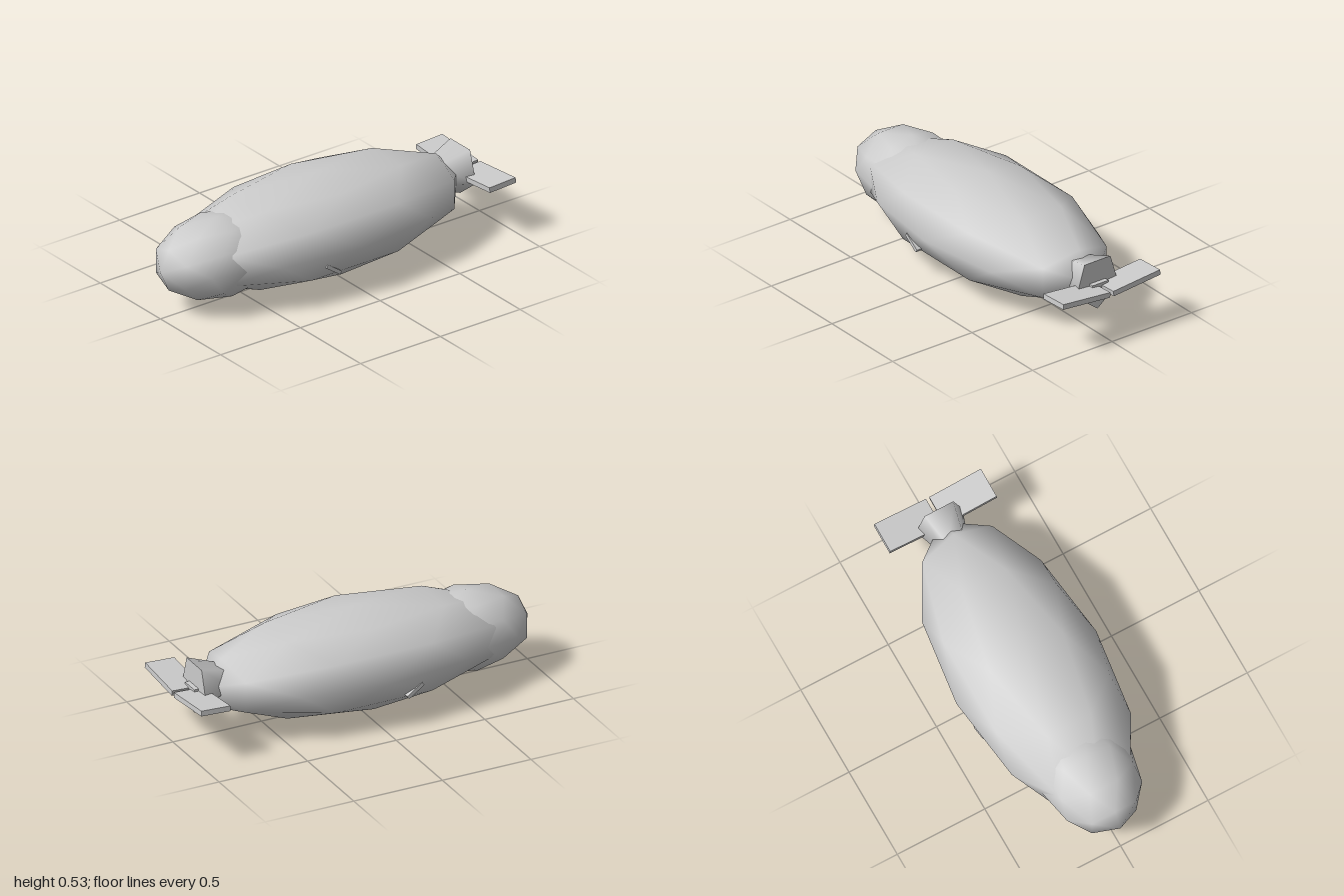
import * as THREE from 'three';

const material = new THREE.MeshStandardMaterial({ color: 0xcccccc });

function addMesh(group, name, geometry, position, rotation = [0, 0, 0]) {
  const mesh = new THREE.Mesh(geometry, material);
  mesh.name = name;
  mesh.position.set(...position);
  mesh.rotation.set(...rotation);
  group.add(mesh);
  return mesh;
}

// Smooth-shaded low-poly ellipsoid
function ellipsoid(rx, ry, rz) {
  return new THREE.IcosahedronGeometry(1, 1).scale(rx, ry, rz);
}

export function createModel() {
  const group = new THREE.Group();
  group.name = 'finnedBody';

  // Main hull and rounded nose
  addMesh(group, 'hull', ellipsoid(0.4, 0.264, 0.886), [0, 0.264, 0.025]);
  addMesh(group, 'nose', ellipsoid(0.253, 0.2125, 0.35), [0, 0.2555, 0.65]);

  // Five-sided tail cone, flaring to the rear with a flat top
  const cone = new THREE.CylinderGeometry(0.55, 1, 0.18, 5)
    .rotateX(Math.PI / 2)
    .scale(0.139, 0.151, 1);
  addMesh(group, 'tailCone', cone, [0, 0.287, -0.79]);

  // Small block behind the tail cone
  addMesh(group, 'tailBlock', new THREE.BoxGeometry(0.1, 0.04, 0.06), [0, 0.272, -0.875]);

  // Mirrored tail planes (raised at the tips) and small side fins
  for (const side of [1, -1]) {
    const label = side > 0 ? 'left' : 'right';
    addMesh(group, label + 'TailPlane', new THREE.BoxGeometry(0.296, 0.028, 0.164),
      [side * 0.158, 0.277, -0.917], [0.05, 0, side * 0.09]);
    addMesh(group, label + 'SideFin', new THREE.BoxGeometry(0.07, 0.02, 0.105),
      [side * 0.327, 0.173, 0.183], [0.61, 0, 0].map((a) => -a));
  }

  return group;
}
